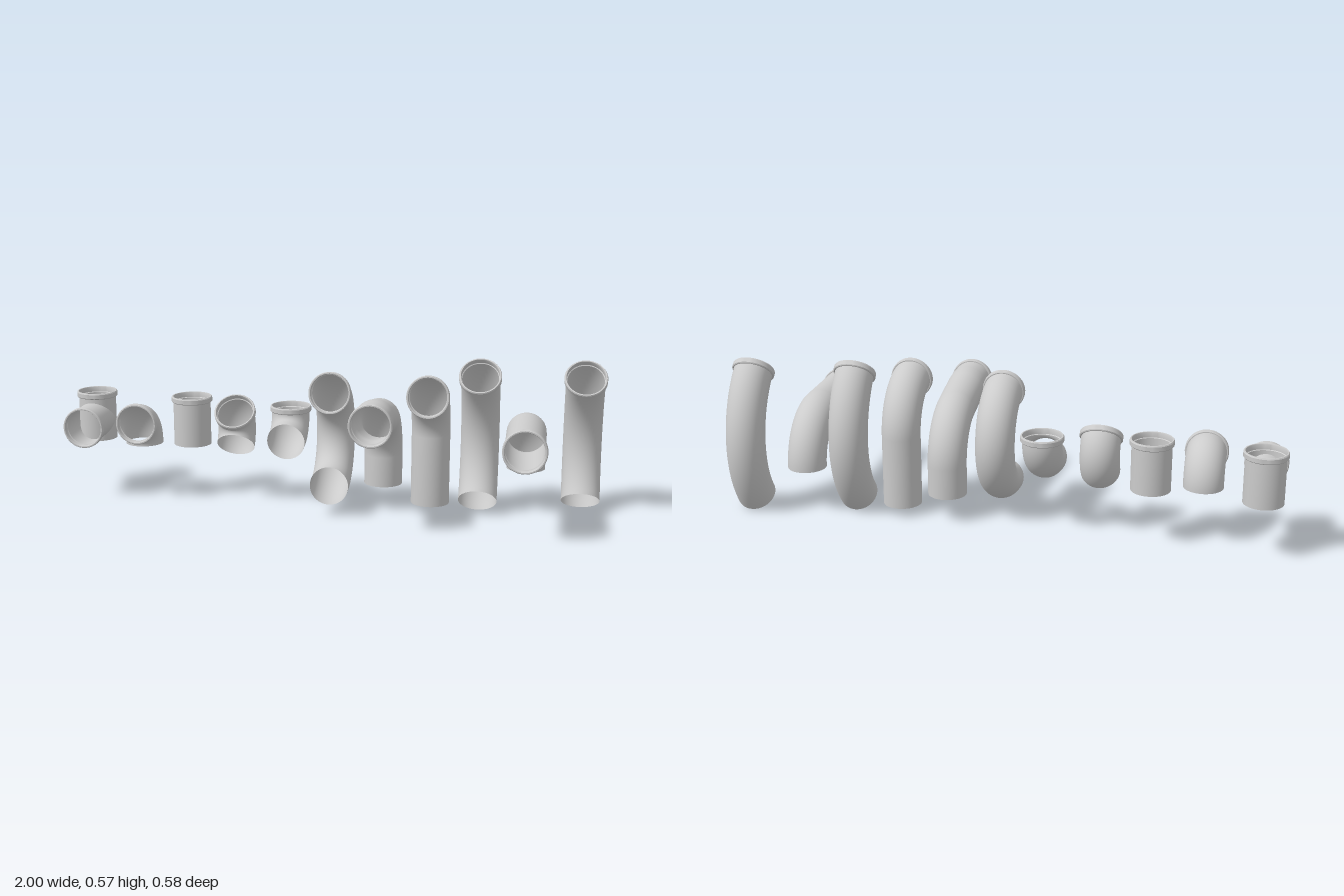
import * as THREE from 'three';
import { toCreasedNormals } from 'three/addons/utils/BufferGeometryUtils.js';

const R = 0.07;      // pipe radius
const LIP = 0.022;   // collar length
const SIDES = 48;
const rad = THREE.MathUtils.degToRad;
const material = new THREE.MeshStandardMaterial({ color: 0xcccccc, side: THREE.DoubleSide });

// Collar: chamfered outer band, thin rim and a stepped socket inside
const collarProfile = [
  [R, 0], [0.0735, 0], [0.0765, 0.003], [0.0765, 0.018], [0.074, LIP],
  [0.07, LIP], [0.0685, 0.019], [0.0685, 0.002], [0.0655, 0],
].map(([r, y]) => new THREE.Vector2(r, y));
const collarGeometry = toCreasedNormals(new THREE.LatheGeometry(collarProfile, SIDES), 0.5);

// Heading is degrees leaning back from straight up; every bend turns forward.
const along = (a) => new THREE.Vector3(0, Math.cos(a), -Math.sin(a));
const inward = (a) => new THREE.Vector3(0, Math.sin(a), Math.cos(a));

// One pipe: starts at (x, y, z), follows [length] straights and [radius, degrees] bends
function pipe(name, [x, y, z], heading, segments) {
  let a = rad(heading);
  let p = new THREE.Vector3(x, y, z);
  const rings = [{ p, a }];
  for (const [size, turn] of segments) {
    if (turn === undefined) {
      p = p.clone().addScaledVector(along(a), size);
      rings.push({ p, a });
      continue;
    }
    const centre = p.clone().addScaledVector(inward(a), size);
    const steps = Math.ceil(turn / 4);
    for (let i = 0; i < steps; i++) {
      a -= rad(turn) / steps;
      p = centre.clone().addScaledVector(inward(a), -size);
      rings.push({ p, a });
    }
  }

  const positions = [], index = [];
  rings.forEach((ring, i) => {
    const n = inward(ring.a);
    for (let j = 0; j < SIDES; j++) {
      const t = (j / SIDES) * Math.PI * 2;
      const v = ring.p.clone().addScaledVector(n, R * Math.sin(t));
      positions.push(v.x + R * Math.cos(t), v.y, v.z);
      if (i === 0) continue;
      const k = (j + 1) % SIDES, lo = (i - 1) * SIDES, hi = i * SIDES;
      index.push(lo + j, hi + j, lo + k, hi + j, hi + k, lo + k);
    }
  });
  const geometry = new THREE.BufferGeometry();
  geometry.setAttribute('position', new THREE.Float32BufferAttribute(positions, 3));
  geometry.setIndex(index);
  geometry.computeVertexNormals();

  const group = new THREE.Group();
  group.name = name;
  const tube = new THREE.Mesh(geometry, material);
  tube.name = 'tube';
  const collar = new THREE.Mesh(collarGeometry, material);
  collar.name = 'collar';
  collar.position.copy(p);
  collar.rotation.x = -a;
  group.add(tube, collar);
  return group;
}

export function createModel() {
  const model = new THREE.Group();
  model.name = 'pipeFittings';

  // Tee: upright run with a branch leaving its axis towards the front
  const tee = new THREE.Group();
  tee.name = 'teeFitting';
  tee.add(
    pipe('teeRun', [-0.924, 0.2, -0.215], 0, [[0.163]]),
    pipe('teeBranch', [-0.924, 0.278, -0.215], -90, [[0.163]]),
  );

  model.add(
    tee,
    // Short fittings
    pipe('tightElbow', [-0.717, 0.208, -0.135], 0, [[0.004], [0.09, 90]]),
    pipe('straightCoupling', [-0.54, 0.2, -0.178], 0, [[0.163]]),
    pipe('shortBend', [-0.353, 0.223, -0.093], 45, [[0.084, 88]]),
    pipe('upturnedElbow', [-0.158, 0.249, -0.064], 80, [[0.03], [0.09, 80]]),
    // Long fittings
    pipe('returnBend', [0.019, 0.118, 0.04], 90, [[0.17, 170]]),
    pipe('offsetElbow', [0.198, 0.097, -0.115], 0, [[0.111], [0.17, 79], [0.14], [0.25, 11], [0.06]]),
    pipe('tallElbow', [0.374, 0.037, -0.091], 0, [[0.258], [0.17, 82.5]]),
    pipe('sweepBend', [0.548, 0.054, -0.076], 45, [[0.32, 90]]),
    pipe('longElbow', [0.718, 0.168, -0.143], 0, [[0.17, 90], [0.24]]),
    pipe('wideSweepBend', [0.919, 0.049, -0.152], 36.6, [[0.345, 82], [0.004]]),
  );
  return model;
}
